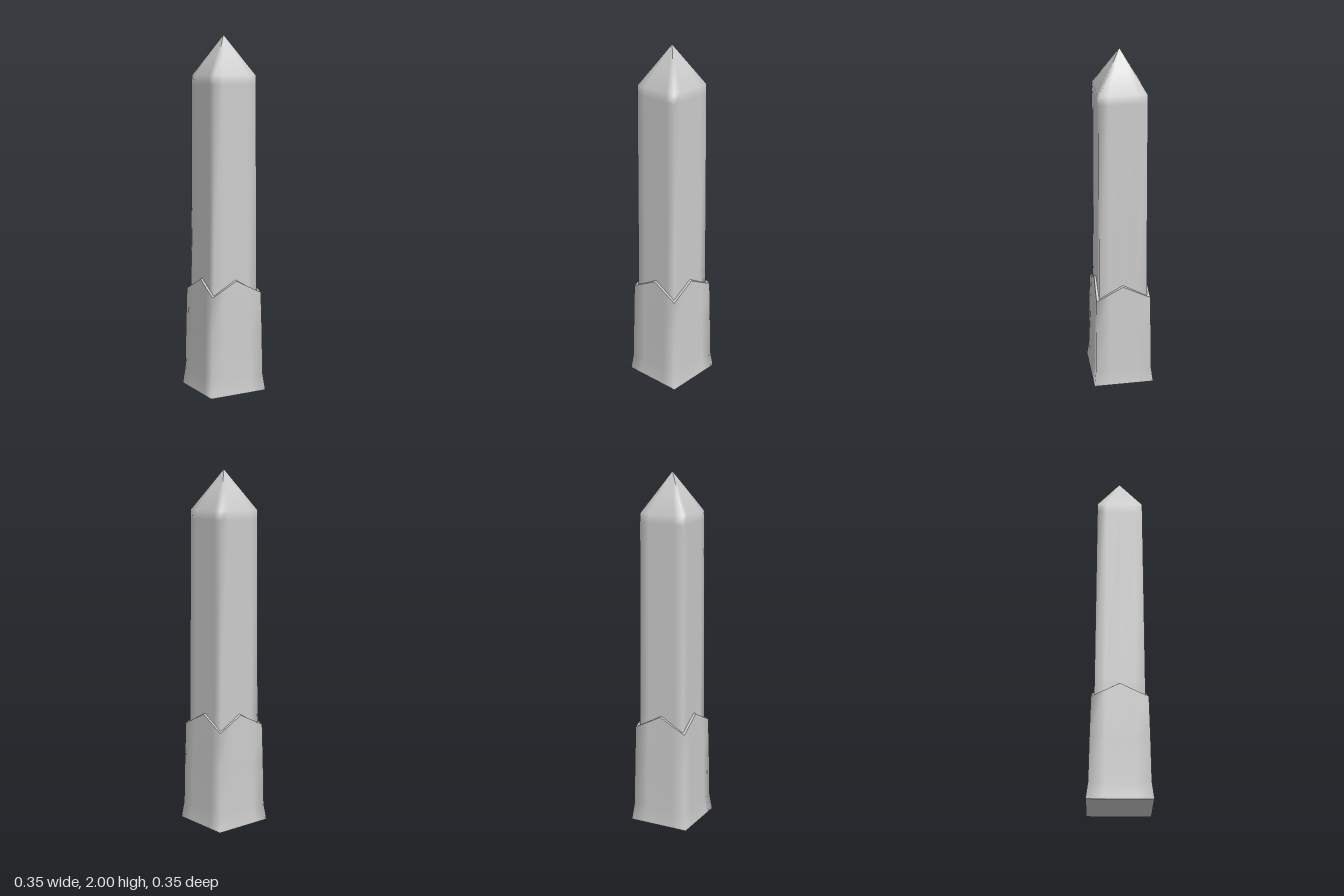
import * as THREE from 'three';

const material = new THREE.MeshStandardMaterial({ color: 0xcccccc, side: THREE.DoubleSide });

// Square ring: fractions along each side (from -1 up to, not including, 1).
// halfAt and yAt take |t|: 0 mid-side, 1 corner.
function squareRing(steps, halfAt, yAt) {
  const points = [];
  for (let side = 0; side < 4; side++) {
    for (const t of steps) {
      const h = halfAt(Math.abs(t));
      const p = new THREE.Vector3(h * t, yAt(Math.abs(t)), h);
      points.push(p.applyAxisAngle(new THREE.Vector3(0, 1, 0), side * Math.PI / 2));
    }
  }
  return points;
}

// Smooth skin over equal-length closed rings, listed from bottom to top
function loft(name, rings) {
  const n = rings[0].length;
  const index = [];
  for (let j = 0; j < rings.length - 1; j++) {
    for (let i = 0; i < n; i++) {
      const a = j * n + i, b = j * n + (i + 1) % n;
      index.push(a, b, b + n, a, b + n, a + n);
    }
  }
  const geometry = new THREE.BufferGeometry().setFromPoints(rings.flat());
  geometry.setIndex(index);
  geometry.computeVertexNormals();
  const mesh = new THREE.Mesh(geometry, material);
  mesh.name = name;
  return mesh;
}

const flatRing = (steps, half, y) => squareRing(steps, () => half, () => y);

export function createModel() {
  const group = new THREE.Group();
  group.name = 'obelisk';

  // Tapered shaft with its pyramid point
  const shaftSteps = [-1, -0.6, 0, 0.6];
  const shaftProfile = [[0.14, 0.4], [0.137, 0.65], [0.131, 1.73], [0.13, 1.78], [0.064, 1.892], [0, 2]];
  group.add(loft('shaft', shaftProfile.map(([h, y]) => flatRing(shaftSteps, h, y))));

  // Flared base whose rim rises to a gable in the middle of each side
  const baseSteps = [-1, -0.5, 0, 0.5];
  const rimHeight = t => 0.645 - 0.078 * t;
  const rim = squareRing(baseSteps, t => 0.148 + 0.007 * t, rimHeight);
  const baseProfile = [[0.175, 0], [0.174, 0.015], [0.164, 0.095], [0.16, 0.35]];
  group.add(loft('base', [...baseProfile.map(([h, y]) => flatRing(baseSteps, h, y)), rim]));

  // Narrow ledge from the rim in to the shaft
  const inner = squareRing(baseSteps, () => 0.136, t => rimHeight(t) + 0.005);
  group.add(loft('baseLedge', [rim, inner]));

  // Underside
  const underside = new THREE.Mesh(new THREE.PlaneGeometry(0.35, 0.35).rotateX(Math.PI / 2), material);
  underside.name = 'underside';
  group.add(underside);

  return group;
}
